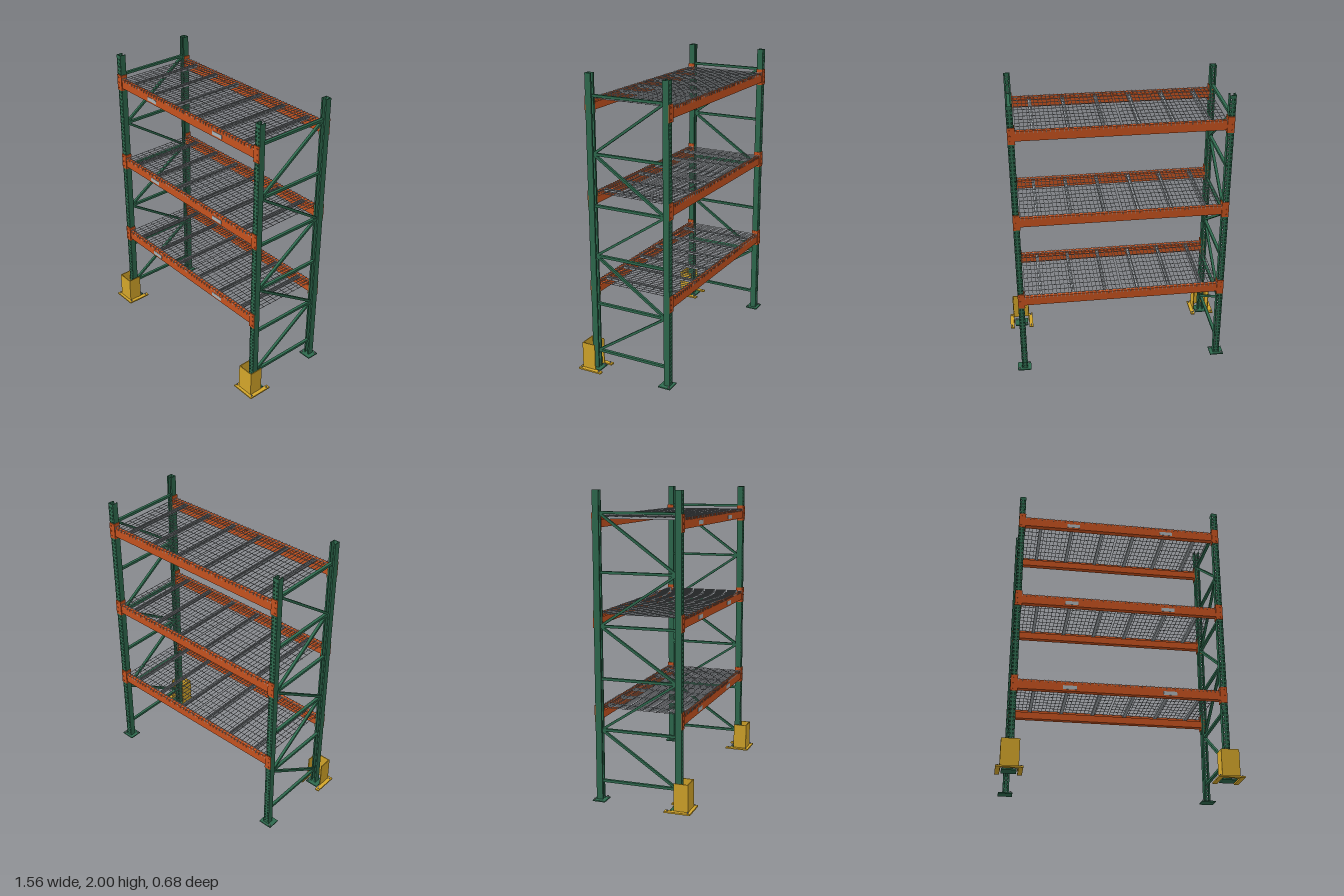
import * as THREE from 'three';
import { mergeGeometries } from 'three/addons/utils/BufferGeometryUtils.js';

const mat = (name, color) => Object.assign(new THREE.MeshStandardMaterial({ color }), { name });

export function createModel() {
  const green = mat('frame green', 0x2e6a4e);
  const orange = mat('beam orange', 0xc6521f);
  const yellow = mat('guard yellow', 0xd4a62a);
  const steel = mat('galvanised steel', 0x989da1);
  const label = mat('label grey', 0xacb4b8);

  const root = new THREE.Group();
  root.name = 'palletRack';
  const rack = new THREE.Group();
  rack.name = 'rack';
  rack.position.z = -0.031; // frames are centred here so front and rear mirror
  root.add(rack);

  const X = 0.691, Z = 0.292, POST = 0.042, WALL = 0.004;
  const levels = [0.614, 1.228, 1.837];

  const box = (w, h, d, x, y, z) => new THREE.BoxGeometry(w, h, d).translate(x, y, z);
  const cyl = (r, h, x, y, z) => new THREE.CylinderGeometry(r, r, h, 8).translate(x, y, z);
  const add = (parent, name, geos, material) => {
    const mesh = new THREE.Mesh(mergeGeometries(geos), material);
    mesh.name = name;
    parent.add(mesh);
    return mesh;
  };

  // Post face with two rows of slots
  const face = new THREE.Shape([[-POST / 2, 0], [POST / 2, 0], [POST / 2, 2], [-POST / 2, 2]]
    .map(([x, y]) => new THREE.Vector2(x, y)));
  for (let i = 0; i < 74; i++) {
    for (const side of [-1, 1]) {
      const x = side * 0.011, y = 0.028 + i * 0.0266;
      face.holes.push(new THREE.Path([
        [-0.004, 0.006], [0.004, 0.006], [0.0025, -0.006], [-0.0025, -0.006],
      ].map(([a, b]) => new THREE.Vector2(x + a, y + b))));
    }
  }
  const faceGeo = new THREE.ExtrudeGeometry(face, { depth: WALL, bevelEnabled: false });

  // Posts: open channels facing into the frame, on anchored foot plates
  for (const sx of [-1, 1]) {
    for (const sz of [-1, 1]) {
      const post = new THREE.Group();
      post.name = `${sz > 0 ? 'front' : 'rear'}${sx > 0 ? 'Left' : 'Right'}Post`;
      post.position.set(sx * X, 0, sz * Z);
      const web = new THREE.Mesh(faceGeo, green);
      web.name = 'slottedFace';
      web.position.z = sz > 0 ? -WALL : 0;
      post.add(web);
      const sides = [];
      for (const s of [-1, 1]) {
        sides.push(box(WALL, 2, 0.038, s * (POST / 2 - WALL / 2), 1, -sz * 0.023));
        sides.push(box(0.011, 2, WALL, s * (POST / 2 - 0.0055), 1, -sz * 0.04));
      }
      add(post, 'postSides', sides, green);
      add(post, 'footPlate', [box(0.095, 0.008, 0.085, sx * 0.003, 0.004, -sz * 0.026)], green);
      add(post, 'anchorBolts', [
        cyl(0.006, 0.014, sx * 0.038, 0.011, sz * 0.004),
        cyl(0.006, 0.014, -sx * 0.032, 0.011, -sz * 0.056),
      ], steel);
      rack.add(post);
    }
  }

  // Horizontal and zigzag diagonal braces in each end frame
  const heights = [0.132, 0.474, 0.81, 1.15, 1.49, 1.86];
  const reach = 0.253;
  for (const sx of [-1, 1]) {
    const braces = heights.map((y) => box(0.02, 0.017, 2 * reach, sx * X, y, 0));
    for (let i = 0; i < heights.length - 1; i++) {
      const dir = i % 2 ? -1 : 1; // +1 climbs from front to rear
      const rise = heights[i + 1] - heights[i] - 0.004;
      braces.push(new THREE.BoxGeometry(0.018, 0.016, Math.hypot(rise, 2 * reach))
        .rotateX(dir * Math.atan2(rise, 2 * reach))
        .translate(sx * X, (heights[i] + heights[i + 1]) / 2, 0));
    }
    add(rack, sx > 0 ? 'leftBraces' : 'rightBraces', braces, green);
  }

  // Stepped beam section: x runs inward from the outer face
  const section = new THREE.Shape([
    [0, -0.069], [0.038, -0.069], [0.038, -0.022], [0.02, -0.022], [0.02, -0.003], [0, -0.003],
  ].map(([x, y]) => new THREE.Vector2(x, y)));
  const beamGeo = new THREE.ExtrudeGeometry(section, { depth: 1.33, bevelEnabled: false })
    .translate(0, 0, -0.665);

  levels.forEach((top, n) => {
    const shelf = new THREE.Group();
    shelf.name = `shelf${n + 1}`;
    shelf.position.y = top;
    rack.add(shelf);

    for (const sz of [-1, 1]) {
      const beam = new THREE.Mesh(beamGeo, orange);
      beam.name = sz > 0 ? 'frontBeam' : 'rearBeam';
      beam.rotation.y = sz * Math.PI / 2;
      beam.position.z = sz * (Z - 0.001);
      shelf.add(beam);

      // Angle connectors wrapping the post, with rivets
      const plates = [], rivets = [];
      for (const sx of [-1, 1]) {
        plates.push(box(0.047, 0.11, 0.005, sx * 0.6885, -0.033, sz * (Z + 0.0025)));
        plates.push(box(0.005, 0.11, 0.045, sx * 0.6675, -0.033, sz * (Z - 0.02)));
        for (const y of [-0.07, -0.033, 0.004]) {
          rivets.push(new THREE.CylinderGeometry(0.005, 0.005, 0.005, 8).rotateX(Math.PI / 2)
            .translate(sx * 0.697, y, sz * (Z + 0.006)));
        }
      }
      add(shelf, 'beamConnectors', plates, orange);
      add(shelf, 'connectorRivets', rivets, orange);
    }

    // Front beam labels
    add(shelf, 'beamLabels', [-1, 1].map((s) =>
      box(0.09, 0.026, 0.002, s * 0.33, -0.044, Z)), label);

    // Two wire decks, bent down over the beams, on upward-open support channels
    for (const sx of [-1, 1]) {
      const wires = [], channels = [];
      const w = 0.003;
      for (let i = 0; i < 25; i++) {
        const x = sx * (0.008 + i * 0.0272);
        wires.push(box(w, w, 2 * Z + 0.004, x, -0.0005, 0));
        for (const sz of [-1, 1]) wires.push(box(w, 0.018, w, x, -0.008, sz * (Z + 0.0005)));
      }
      for (let j = -5; j <= 5; j++) {
        wires.push(box(0.656, w, w, sx * 0.335, -0.0035, j * 0.0535));
      }
      for (const x of [0.113, 0.333, 0.553]) {
        channels.push(box(0.022, 0.003, 0.54, sx * x, -0.0205, 0));
        for (const s of [-1, 1]) {
          channels.push(box(0.003, 0.02, 0.54, sx * x + s * 0.0095, -0.012, 0));
        }
      }
      add(shelf, sx > 0 ? 'leftDeckWires' : 'rightDeckWires', wires, steel);
      add(shelf, sx > 0 ? 'leftDeckChannels' : 'rightDeckChannels', channels, steel);
    }
  });

  // Three-sided guards around the front posts, with a U-shaped floor flange
  for (const sx of [-1, 1]) {
    const guard = new THREE.Group();
    guard.name = sx > 0 ? 'leftPostGuard' : 'rightPostGuard';
    guard.position.x = sx * 0.694;
    add(guard, 'guardWalls', [
      box(0.118, 0.18, 0.006, 0, 0.1, 0.315),
      ...[-1, 1].map((s) => box(0.006, 0.18, 0.09, s * 0.056, 0.1, 0.267)),
    ], yellow);
    add(guard, 'guardFlange', [
      box(0.17, 0.01, 0.026, 0, 0.005, 0.325),
      ...[-1, 1].map((s) => box(0.029, 0.01, 0.147, s * 0.0705, 0.005, 0.2395)),
    ], yellow);
    const bolts = [];
    for (const s of [-1, 1]) {
      for (const z of [0.185, 0.32]) bolts.push(cyl(0.005, 0.01, s * 0.072, 0.013, z));
    }
    add(guard, 'guardBolts', bolts, steel);
    root.add(guard);
  }
  return root;
}
